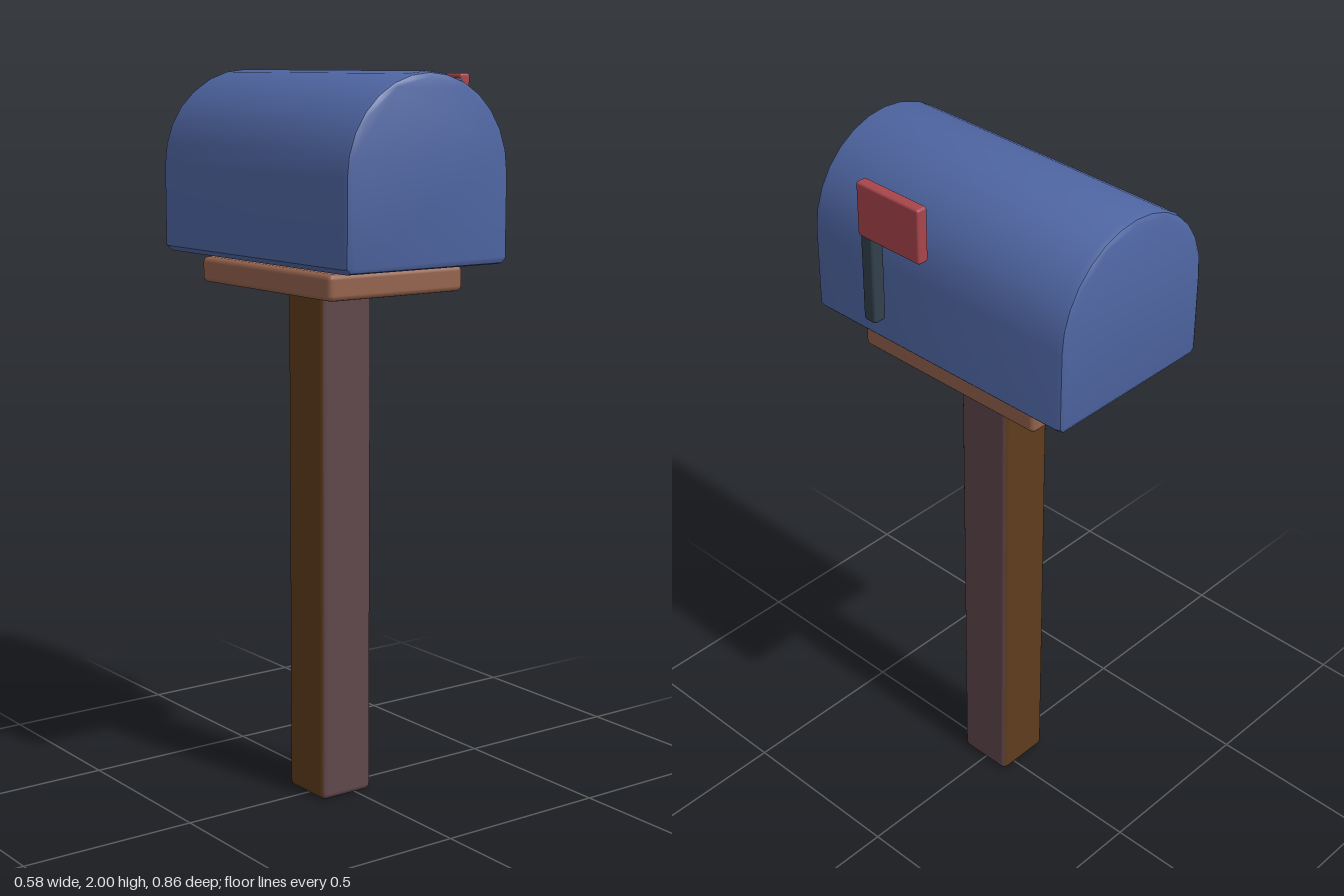
import * as THREE from 'three';
import { toCreasedNormals } from 'three/addons/utils/BufferGeometryUtils.js';
import { RoundedBoxGeometry } from 'three/addons/geometries/RoundedBoxGeometry.js';

const paint = (name, color) => {
  const material = new THREE.MeshStandardMaterial({ color });
  material.name = name;
  return material;
};

// Rounded block given by its lower and upper corners
function block(name, min, max, radius, material) {
  const [w, h, d] = max.map((v, i) => v - min[i]);
  const mesh = new THREE.Mesh(new RoundedBoxGeometry(w, h, d, 2, radius), material);
  mesh.name = name;
  mesh.position.set(...max.map((v, i) => (v + min[i]) / 2));
  return mesh;
}

// Arched box, extruded along z with softened end rims
function archedBox(halfWidth, bottom, top, halfDepth, bevel, material) {
  const spring = top - halfWidth;
  const corner = 0.014;
  const shape = new THREE.Shape();
  shape.moveTo(-halfWidth + corner, bottom);
  shape.lineTo(halfWidth - corner, bottom);
  shape.lineTo(halfWidth, bottom + corner);
  const steps = 14;
  for (let i = 0; i <= steps; i++) {
    const a = (i / steps) * Math.PI;
    shape.lineTo(Math.cos(a) * halfWidth, spring + Math.sin(a) * halfWidth);
  }
  shape.lineTo(-halfWidth, bottom + corner);
  shape.closePath();
  const geometry = new THREE.ExtrudeGeometry(shape, {
    depth: 2 * (halfDepth - bevel),
    bevelEnabled: true,
    bevelThickness: bevel,
    bevelSize: bevel * 0.7,
    bevelOffset: -bevel * 0.7,
    bevelSegments: 2,
  });
  geometry.translate(0, 0, -(halfDepth - bevel));
  const mesh = new THREE.Mesh(toCreasedNormals(geometry, 0.6), material);
  mesh.name = 'mailbox';
  return mesh;
}

export function createModel() {
  const blue = paint('blue paint', 0x4f66a3);
  const red = paint('red paint', 0xa9454c);
  const steel = paint('dark steel', 0x32404b);
  const tan = paint('platform wood', 0x94634d);
  const plum = paint('plum wood', 0x5f464b);
  const brown = paint('brown wood', 0x5e3c1c);

  const model = new THREE.Group();
  model.name = 'mailboxOnPost';

  // Post: back and right faces are brown, the rest plum
  // (face order +x, -x, +y, -y, +z, -z)
  model.add(block('post', [-0.116, 0, -0.083], [0.05, 1.51, 0.083], 0.016,
    [plum, brown, plum, plum, plum, brown]));

  // Platform under the box
  model.add(block('platform', [-0.25, 1.425, -0.303], [0.184, 1.495, 0.303], 0.015, tan));

  // Box with arched roof
  const box = archedBox(0.259, 1.505, 2, 0.432, 0.02, blue);
  box.position.x = -0.032;
  model.add(box);

  // Signal flag beside the box
  const flag = new THREE.Group();
  flag.name = 'signalFlag';
  flag.add(block('flagArm', [0.243, 1.595, 0.153], [0.283, 1.98, 0.195], 0.008, steel));
  flag.add(block('flagPlate', [0.257, 1.842, -0.02], [0.29, 1.992, 0.195], 0.007, red));
  model.add(flag);

  return model;
}
